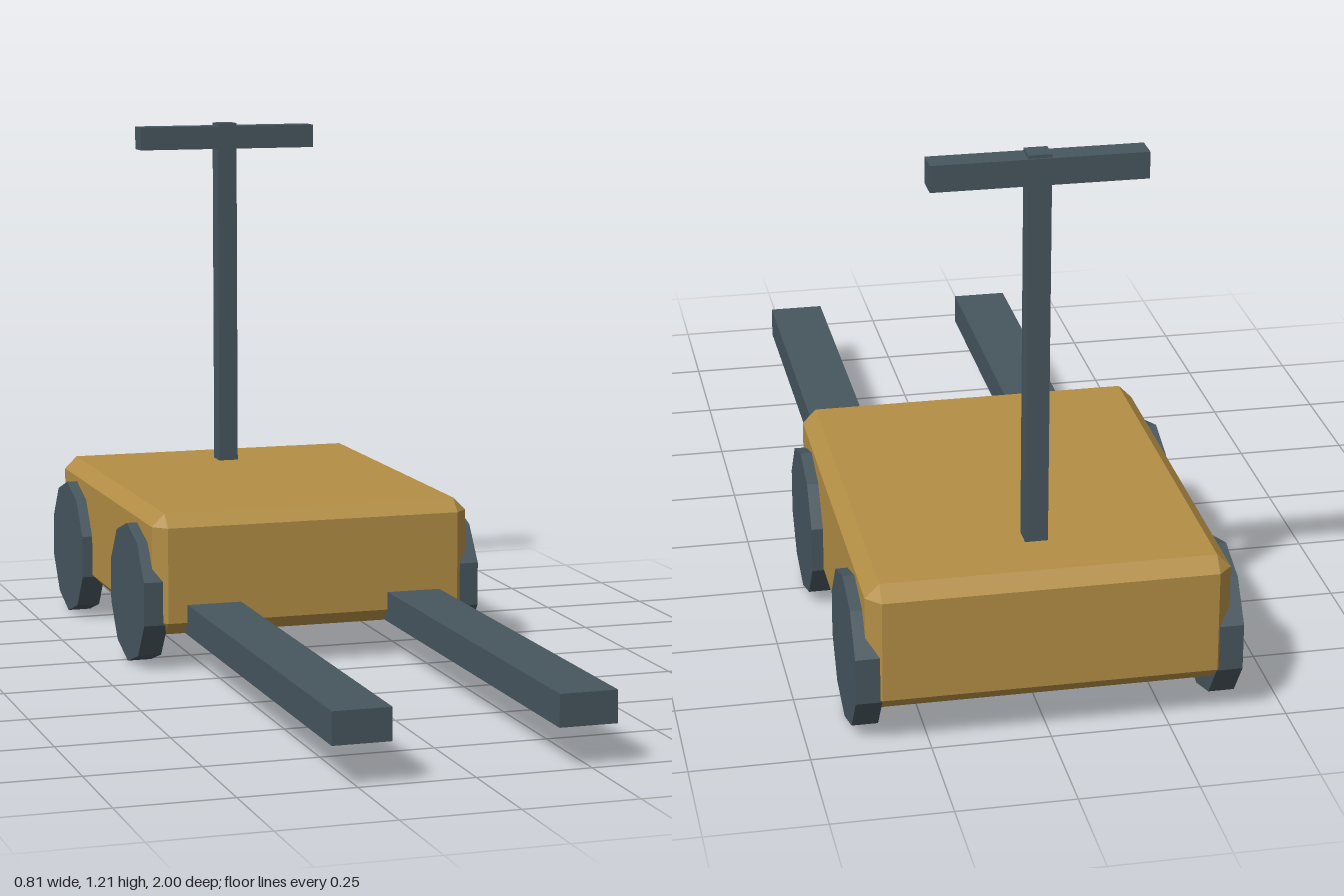
import * as THREE from 'three';
import { ConvexGeometry } from 'three/addons/geometries/ConvexGeometry.js';

const ochre = new THREE.MeshStandardMaterial({ color: 0xb38e45, flatShading: true });
const slate = new THREE.MeshStandardMaterial({ color: 0x47565e, flatShading: true });

// Box with every edge and corner cut by c
function chamferedBox(w, h, d, c) {
  const points = [];
  for (const x of [-1, 1]) for (const y of [-1, 1]) for (const z of [-1, 1]) {
    const [a, b, e] = [w / 2, h / 2, d / 2];
    points.push(
      new THREE.Vector3(x * a, y * (b - c), z * (e - c)),
      new THREE.Vector3(x * (a - c), y * b, z * (e - c)),
      new THREE.Vector3(x * (a - c), y * (b - c), z * e)
    );
  }
  return new ConvexGeometry(points);
}

export function createModel() {
  const group = new THREE.Group();
  const add = (name, geometry, material, x, y, z) => {
    const mesh = new THREE.Mesh(geometry, material);
    mesh.name = name;
    mesh.position.set(x, y, z);
    group.add(mesh);
    return mesh;
  };

  // Bevelled body
  add('body', chamferedBox(0.76, 0.281, 0.924, 0.03), ochre, 0, 0.2195, -0.534);

  // Steering post and crossbar
  add('post', new THREE.BoxGeometry(0.048, 0.865, 0.048), slate, 0, 0.7725, -0.814);
  add('handlebar', new THREE.BoxGeometry(0.443, 0.056, 0.056), slate, 0, 1.17, -0.814);

  // Ten-sided wheels with a flat side on the ground
  const wheel = new THREE.CylinderGeometry(0.163, 0.163, 0.055, 10);
  wheel.rotateZ(Math.PI / 2);
  wheel.rotateX(Math.PI / 2);

  for (const [side, s] of [['left', 1], ['right', -1]]) {
    add(side + 'Fork', new THREE.BoxGeometry(0.127, 0.07, 1.3), slate, s * 0.2415, 0.1155, 0.35);
    add(side + 'FrontWheel', wheel, slate, s * 0.3775, 0.155, -0.237);
    add(side + 'RearWheel', wheel, slate, s * 0.3775, 0.155, -0.837);
  }
  return group;
}
